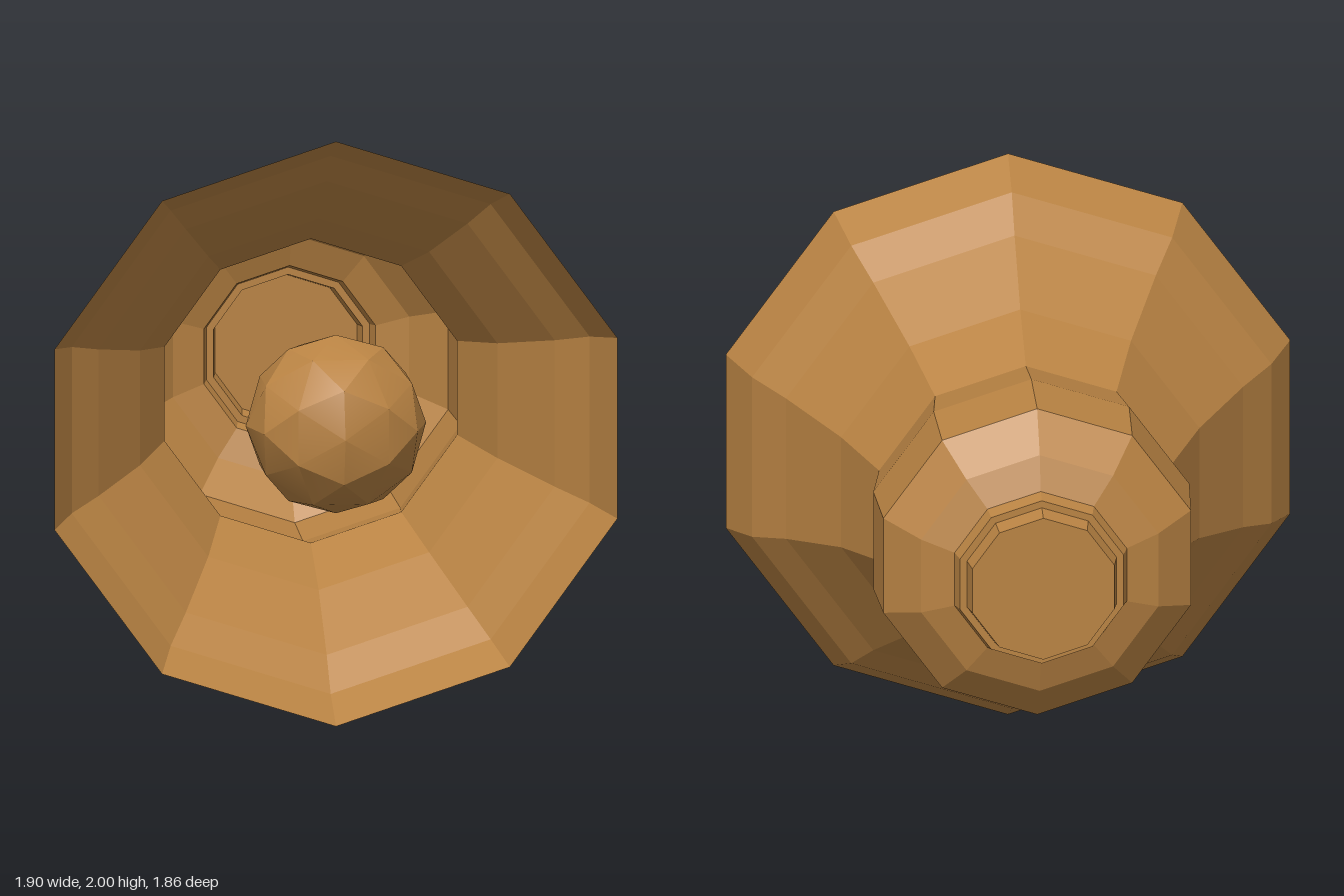
import * as THREE from 'three';
import { toCreasedNormals } from 'three/addons/utils/BufferGeometryUtils.js';

export function createModel() {
  const model = new THREE.Group();
  model.name = 'bell';
  const bronze = new THREE.MeshStandardMaterial({ color: 0xb98343, side: THREE.DoubleSide });
  bronze.name = 'bronze';

  // Adds a ten-sided shell turned about the z axis from [radius, z] pairs
  function addTurned(name, profile) {
    const points = profile.map(([r, z]) => new THREE.Vector2(r, z));
    const geometry = new THREE.LatheGeometry(points.reverse(), 10).toNonIndexed();
    geometry.computeVertexNormals(); // faceted
    geometry.rotateX(Math.PI / 2);
    const mesh = new THREE.Mesh(geometry, bronze);
    mesh.name = name;
    mesh.position.y = 1;
    model.add(mesh);
  }

  // Flared open mouth, from lip to waist
  addTurned('flaredMouth', [[1, 0.63], [0.92, 0.465], [0.81, 0.34], [0.635, 0.09], [0.52, -0.155]]);

  // Bulged body and rounded shoulder
  addTurned('body', [[0.52, -0.155], [0.56, -0.4], [0.545, -0.655], [0.42, -0.77], [0.305, -0.81]]);

  // Stepped crown with a flat closed end
  addTurned('crown', [[0.305, -0.81], [0.29, -0.862], [0.265, -0.862], [0.252, -0.93], [0, -0.93]]);

  // Faceted ball hanging in the mouth
  const ball = toCreasedNormals(new THREE.IcosahedronGeometry(0.305, 1), 0.35);
  const clapper = new THREE.Mesh(ball, bronze);
  clapper.name = 'clapper';
  clapper.position.set(0, 1.033, 0.625);
  model.add(clapper);

  return model;
}
